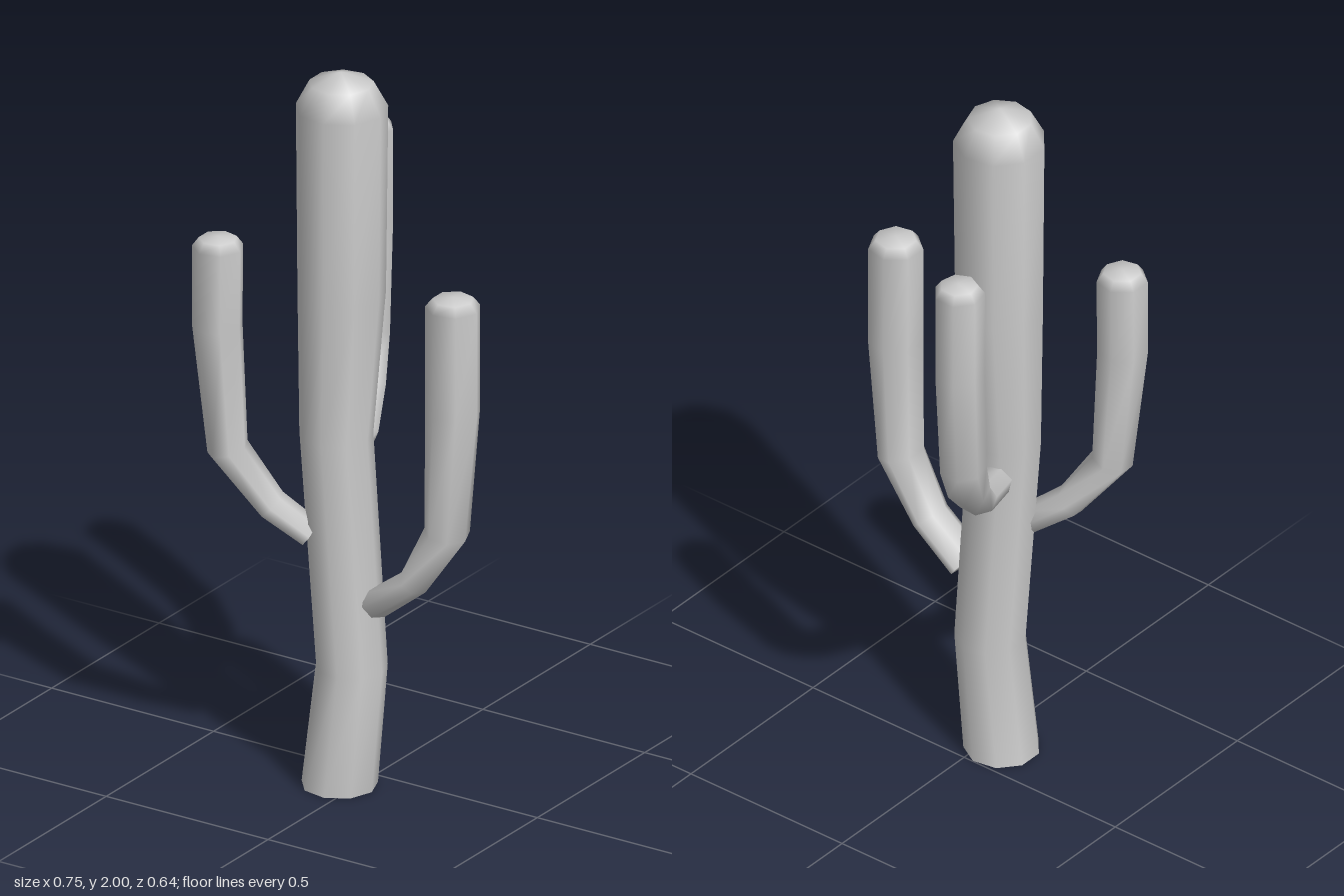
import * as THREE from 'three';

const material = new THREE.MeshStandardMaterial({ color: 0xcccccc, side: THREE.DoubleSide });

// Skin through rings [x, y, z, sideways radius, in-plane radius].
// heading: horizontal direction the limb grows in; corner: direction of one ring corner.
function limb(name, rings, sides, heading, corner, upright) {
  const out = new THREE.Vector3(Math.cos(heading), 0, Math.sin(heading));
  const side = new THREE.Vector3(-out.z, 0, out.x);
  const centres = rings.map(([x, y, z]) => new THREE.Vector3(x, y, z));
  const positions = [], index = [];
  rings.forEach((ring, i) => {
    const tangent = new THREE.Vector3(0, 1, 0);
    if (!upright && i < rings.length - 3) {
      const before = centres[Math.max(i - 1, 0)], after = centres[Math.max(i + 1, 2)];
      tangent.subVectors(after, before);
      tangent.addScaledVector(side, -tangent.dot(side)).normalize();
    }
    const normal = new THREE.Vector3().crossVectors(tangent, side);
    for (let j = 0; j < sides; j++) {
      const a = corner - heading + (j / sides) * Math.PI * 2;
      const p = centres[i].clone()
        .addScaledVector(normal, Math.cos(a) * ring[4])
        .addScaledVector(side, Math.sin(a) * ring[3]);
      positions.push(p.x, p.y, p.z);
      if (i < rings.length - 1) {
        const k = i * sides + j, n = i * sides + (j + 1) % sides;
        index.push(k, k + sides, n, n, k + sides, n + sides);
      }
    }
  });
  // Collapse the tip (and closed base) to one shared vertex for smooth caps
  const last = (rings.length - 1) * sides;
  const merged = index.map(v => (v >= last ? last : !upright && v < sides ? 0 : v));
  const faces = [];
  for (let t = 0; t < merged.length; t += 3) {
    const [a, b, c] = merged.slice(t, t + 3);
    if (a !== b && b !== c && a !== c) faces.push(a, c, b);
  }
  // Reverse so that faces point outward
  for (let t = 0; t < faces.length; t += 3) [faces[t + 1], faces[t + 2]] = [faces[t + 2], faces[t + 1]];
  const geometry = new THREE.BufferGeometry();
  geometry.setAttribute('position', new THREE.Float32BufferAttribute(positions, 3));
  geometry.setIndex(faces);
  geometry.computeVertexNormals();
  const mesh = new THREE.Mesh(geometry, material);
  mesh.name = name;
  return mesh;
}

// Arm: closed base, bent path, domed tip
function arm(name, path, tip, heading, corner) {
  const [x, y, z, r] = tip;
  const [bx, by, bz] = path[0];
  const rings = [
    [bx, by, bz, 0, 0], ...path,
    [x, y - 0.03, z, r, r], [x, y - 0.006, z, r * 0.74, r * 0.74], [x, y, z, 0, 0],
  ];
  return limb(name, rings, 7, heading, corner, false);
}

export function createModel() {
  const group = new THREE.Group();
  group.name = 'cactus';

  // Trunk: open at the ground, slightly crooked, domed on top
  const trunk = [
    [-0.045, 0, 0.1, 0.1], [-0.009, 0.34, 0.098, 0.094], [-0.057, 0.98, 0.098, 0.097],
    [-0.042, 1.38, 0.096, 0.116], [-0.041, 1.9, 0.096, 0.121],
    [-0.042, 1.97, 0.096, 0.084], [-0.043, 2, 0.096, 0],
  ].map(([x, y, z, r]) => [x, y, z, r, r]);
  group.add(limb('trunk', trunk, 9, 0, 0, true));

  group.add(arm('leftArm', [
    [0.066, 0.533, 0.095, 0.06, 0.042], [0.187, 0.625, 0.095, 0.06, 0.04],
    [0.285, 0.785, 0.096, 0.069, 0.057], [0.303, 1.13, 0.095, 0.073, 0.073],
  ], [0.303, 1.45, 0.095, 0.073], 0, 0));

  group.add(arm('rightArm', [
    [-0.1, 0.713, 0.155, 0.05, 0.038], [-0.193, 0.785, 0.195, 0.055, 0.042],
    [-0.295, 0.935, 0.243, 0.064, 0.055], [-0.318, 1.28, 0.255, 0.067, 0.067],
  ], [-0.317, 1.53, 0.255, 0.068], Math.atan2(0.1, -0.2), 0));

  group.add(arm('backArm', [
    [-0.088, 0.9, 0.01, 0.052, 0.044], [-0.11, 0.906, -0.085, 0.055, 0.045],
    [-0.15, 1.0, -0.172, 0.06, 0.047], [-0.183, 1.12, -0.235, 0.064, 0.058],
    [-0.193, 1.43, -0.26, 0.067, 0.067],
  ], [-0.193, 1.71, -0.26, 0.067], Math.atan2(-0.25, -0.105), Math.PI / 2));

  return group;
}
